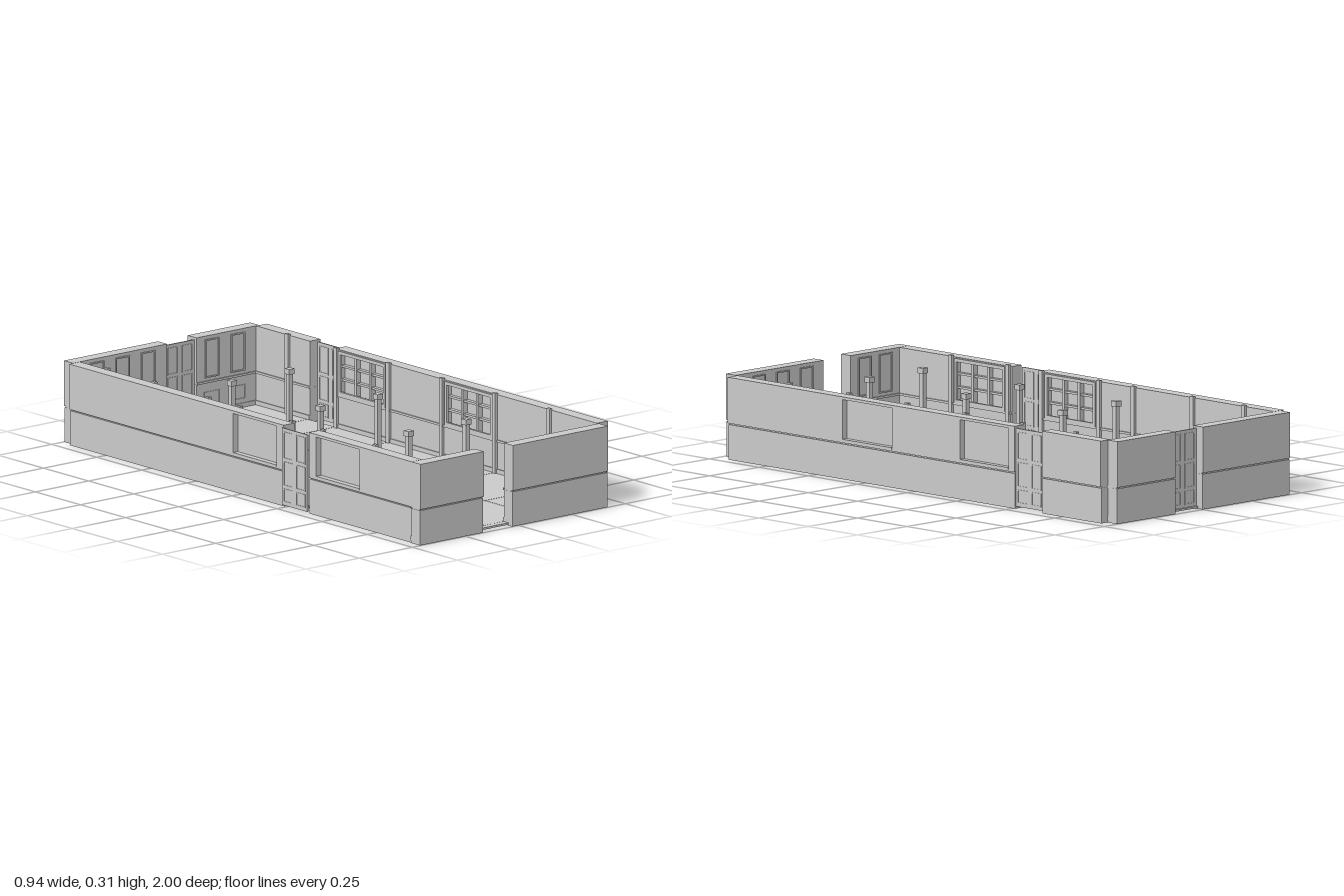
import * as THREE from 'three';

const H = 0.3;       // wall height
const T = 0.05;      // wall thickness
const material = new THREE.MeshStandardMaterial({ color: 0xcccccc, flatShading: true });

// Box given by its limits on each axis
function box(parent, name, [x0, x1], [y0, y1], [z0, z1]) {
  const mesh = new THREE.Mesh(new THREE.BoxGeometry(x1 - x0, y1 - y0, z1 - z0), material);
  mesh.position.set((x0 + x1) / 2, (y0 + y1) / 2, (z0 + z1) / 2);
  mesh.name = name;
  parent.add(mesh);
  return mesh;
}

function rect(path, [x0, x1], [y0, y1]) {
  return path.moveTo(x0, y0).lineTo(x1, y0).lineTo(x1, y1).lineTo(x0, y1).closePath();
}

// Rectangular border lying on a wall face
function frame(parent, name, u, y, z, border) {
  const shape = rect(new THREE.Shape(), u, y);
  shape.holes.push(rect(new THREE.Path(), [u[0] + border, u[1] - border], [y[0] + border, y[1] - border]));
  const mesh = new THREE.Mesh(
    new THREE.ExtrudeGeometry(shape, { depth: z[1] - z[0], bevelEnabled: false }), material);
  mesh.position.z = z[0];
  mesh.name = name;
  parent.add(mesh);
}

// Window: recessed pane, casing and glazing bars on the room side
function addWindow(wall, [a, b]) {
  const y0 = 0.14, y1 = 0.29;
  const group = new THREE.Group();
  group.name = 'window';
  wall.add(group);
  box(group, 'windowPane', [a, b], [y0, y1], [-0.03, -0.022]);
  frame(group, 'windowCasing', [a - 0.008, b + 0.008], [y0 - 0.006, y1 + 0.006], [-T - 0.006, -T + 0.004], 0.012);
  for (let i = 1; i < 3; i++) {
    const u = a + (b - a) * i / 3, y = y0 + (y1 - y0) * i / 3;
    box(group, 'glazingBar', [u - 0.006, u + 0.006], [y0, y1], [-T, -0.03]);
    box(group, 'glazingBar', [a, b], [y - 0.004, y + 0.004], [-T + 0.004, -0.03]);
  }
  box(group, 'windowSill', [a, b], [y0, y0 + 0.006], [-0.022, 0.001]);
}

// One stretch of wall: u runs along it, z = 0 is outside and z = -T faces the room
function addRun(wall, [a, b], windows = []) {
  box(wall, 'lowerWall', [a, b], [0, 0.128], [-T, -0.003]);
  box(wall, 'wallGroove', [a + 0.001, b - 0.001], [0.128, 0.133], [-T + 0.001, -0.008]);
  const shape = rect(new THREE.Shape(), [a, b], [0.133, H]);
  for (const w of windows) shape.holes.push(rect(new THREE.Path(), w, [0.14, 0.29]));
  const upper = new THREE.Mesh(new THREE.ExtrudeGeometry(shape, { depth: T, bevelEnabled: false }), material);
  upper.position.z = -T;
  upper.name = 'upperWall';
  wall.add(upper);
  windows.forEach(w => addWindow(wall, w));
  // Skirting and dado rail
  box(wall, 'skirting', [a, b], [0.008, 0.026], [-T - 0.004, -T]);
  box(wall, 'dadoRail', [a, b], [0.126, 0.134], [-T - 0.005, -T]);
}

// Row of framed panels above and below the dado rail
function addPanels(wall, centres) {
  for (const c of centres) {
    frame(wall, 'upperPanel', [c - 0.033, c + 0.033], [0.145, 0.287], [-T - 0.004, -T], 0.005);
    frame(wall, 'lowerPanel', [c - 0.037, c + 0.037], [0.04, 0.093], [-T - 0.003, -T], 0.004);
  }
}

function addPilasters(wall, centres) {
  for (const c of centres)
    box(wall, 'pilaster', [c - 0.009, c + 0.009], [0.008, H + 0.006], [-T - 0.01, -T + 0.003]);
}

// Thin closed double door with low panels
function addDoor(wall, [a, b], z) {
  const door = new THREE.Group();
  door.name = 'door';
  wall.add(door);
  const m = (a + b) / 2;
  box(door, 'doorSlab', [a, b], [0.008, 0.292], [z - 0.006, z]);
  for (const [l, r] of [[a, m], [m, b]])
    for (const y of [[0.02, 0.07], [0.08, 0.17], [0.18, 0.28]])
      frame(door, 'doorPanel', [l + 0.01, r - 0.01], y, [z - 0.008, z + 0.002], 0.004);
}

function makeWall(group, name, x, z, turn) {
  const wall = new THREE.Group();
  wall.name = name;
  wall.position.set(x, 0, z);
  wall.rotation.y = turn;
  group.add(wall);
  return wall;
}

export function createModel() {
  const group = new THREE.Group();
  group.name = 'openRoom';

  // Front wall with an open doorway
  const front = makeWall(group, 'frontWall', 0, 1, 0);
  addRun(front, [-0.462, -0.165]);
  addRun(front, [-0.028, 0.418]);
  addPanels(front, [-0.34, -0.235, 0.06, 0.18, 0.3]);

  // Back wall, u = -x
  const back = makeWall(group, 'backWall', 0, -1, Math.PI);
  addRun(back, [0, 0.442]);
  addRun(back, [-0.432, -0.137]);
  addPanels(back, [0.09, 0.21, 0.33, -0.21, -0.33]);
  addDoor(back, [-0.137, 0], -0.034);

  // Wall on the +x side, u = -z
  const left = makeWall(group, 'leftWall', 0.466, 0, Math.PI / 2);
  addRun(left, [-0.942, 0.51], [[-0.36, -0.11], [0.235, 0.48]]);
  addRun(left, [0.65, 0.948]);
  addPilasters(left, [-0.68, -0.38, -0.085, 0.21, 0.5, 0.77]);
  addDoor(left, [0.51, 0.65], -0.008);

  // Wall on the -x side, u = z
  const right = makeWall(group, 'rightWall', -0.461, 0, -Math.PI / 2);
  addRun(right, [-0.948, 0.24], [[-0.04, 0.2]]);
  addRun(right, [0.38, 0.948], [[0.42, 0.66]]);
  addPilasters(right, [-0.8, -0.54, -0.24, -0.065, 0.225, 0.395, 0.685]);
  addDoor(right, [0.24, 0.38], 0.008);

  // Floor slab with separate tiles and two thresholds
  const floor = new THREE.Group();
  floor.name = 'floor';
  group.add(floor);
  box(floor, 'floorBase', [-0.412, 0.417], [0.003, 0.007], [-0.95, 0.95]);
  const xs = [-0.412, -0.12, 0.12, 0.417];
  const zs = [-0.95, -0.66, -0.51, -0.215, 0.08, 0.375, 0.67, 0.95];
  for (let i = 0; i < 3; i++)
    for (let j = 0; j < 7; j++)
      box(floor, 'floorTile', [xs[i] + 0.001, xs[i + 1] - 0.001], [0.007, 0.01], [zs[j] + 0.001, zs[j + 1] - 0.001]);
  box(floor, 'frontThreshold', [-0.165, -0.028], [0.003, 0.01], [0.95, 0.975]);
  box(floor, 'backThreshold', [0, 0.137], [0.003, 0.01], [-0.975, -0.95]);

  // Six square posts with a base and a cap
  for (const x of [-0.17, 0.1])
    for (const z of [-0.39, 0.1, 0.59]) {
      const post = new THREE.Group();
      post.name = 'post';
      post.position.set(x, 0, z);
      group.add(post);
      const block = (name, r, y) => box(post, name, [-r, r], y, [-r, r]);
      block('postBase', 0.014, [0.01, 0.03]);
      block('postShaft', 0.009, [0.03, 0.28]);
      block('postCap', 0.013, [0.28, H]);
    }
  return group;
}
